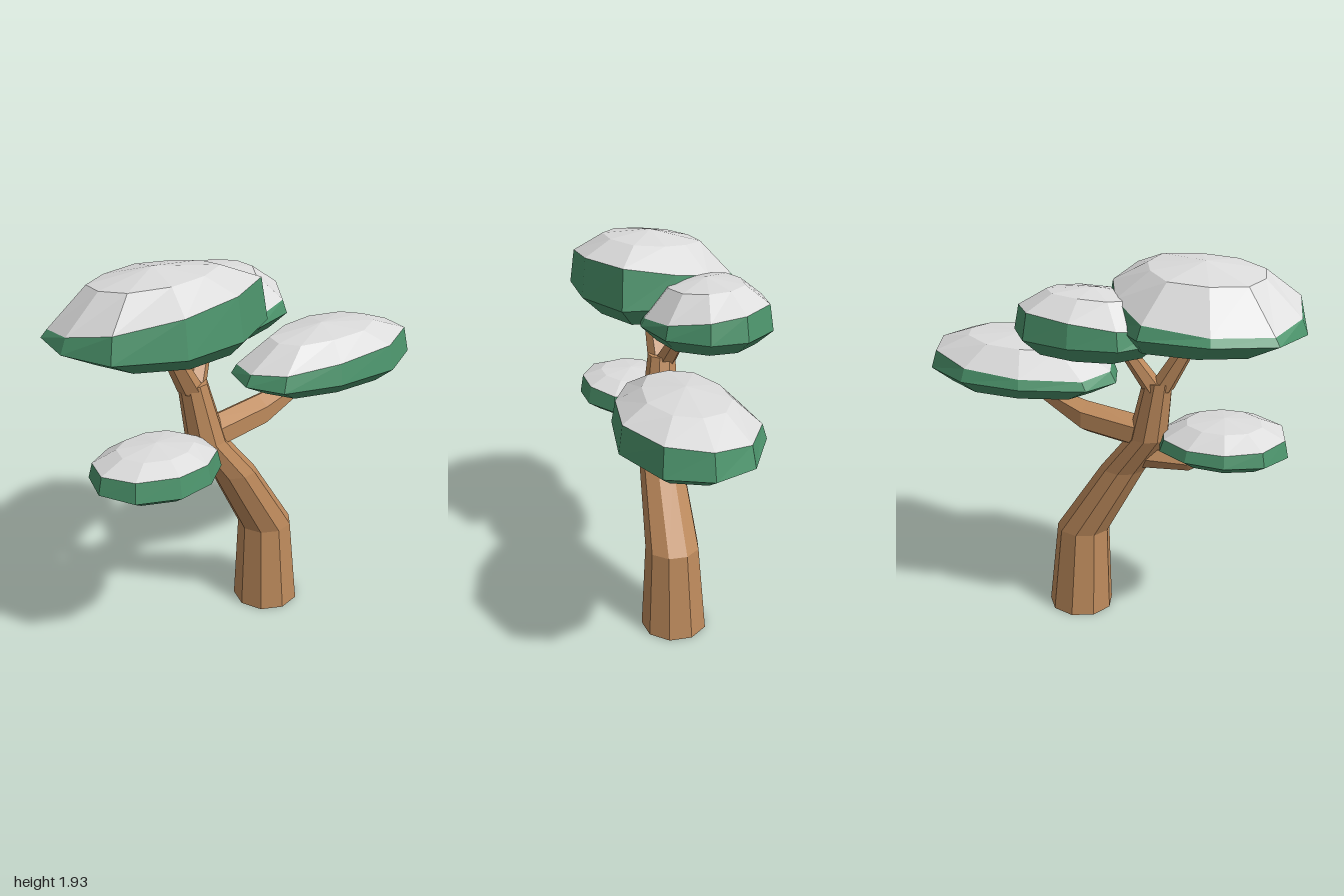
import * as THREE from 'three';

const material = (name, color) => {
  const m = new THREE.MeshStandardMaterial({ color, flatShading: true });
  m.name = name;
  return m;
};

// Joins rings of points into a faceted skin, skipping collapsed triangles
function loft(rings) {
  const pos = [];
  const tri = (a, b, c) => {
    if (a.distanceTo(b) < 1e-6 || b.distanceTo(c) < 1e-6 || a.distanceTo(c) < 1e-6) return;
    for (const p of [a, b, c]) pos.push(p.x, p.y, p.z);
  };
  for (let r = 0; r < rings.length - 1; r++) {
    const a = rings[r], b = rings[r + 1], n = a.length;
    for (let i = 0; i < n; i++) {
      const j = (i + 1) % n;
      tri(a[i], b[i], a[j]);
      tri(b[i], b[j], a[j]);
    }
  }
  const g = new THREE.BufferGeometry();
  g.setAttribute('position', new THREE.Float32BufferAttribute(pos, 3));
  g.computeVertexNormals();
  return g;
}

const X = new THREE.Vector3(1, 0, 0), Y = new THREE.Vector3(0, 1, 0), Z = new THREE.Vector3(0, 0, 1);
const AXES = { up: [X, Z], left: [Z, Y], right: [Y, Z] }; // ring planes by growing direction

// Tapered limb through sections [x, y, z, radius], closed at both ends
function limb(sections, direction, sides) {
  const [u, v] = AXES[direction];
  const ring = ([x, y, z, r]) => Array.from({ length: sides }, (_, i) => {
    const t = ((i + 0.5) / sides) * Math.PI * 2;
    return new THREE.Vector3(x, y, z).addScaledVector(u, r * Math.cos(t)).addScaledVector(v, r * Math.sin(t));
  });
  const cap = ([x, y, z]) => ring([x, y, z, 0]);
  return loft([cap(sections[0]), ...sections.map(ring), cap(sections[sections.length - 1])]);
}

export function createModel() {
  const bark = material('bark brown', 0xbd8a5c);
  const leaf = material('leaf green', 0x4c946c);
  const snow = material('snow white', 0xdcdcdc);
  const group = new THREE.Group();
  group.name = 'snowyTree';
  const add = (name, geometry, mat) => {
    const mesh = new THREE.Mesh(geometry, mat);
    mesh.name = name;
    group.add(mesh);
  };

  // Bent trunk and its limbs
  add('trunk', limb([
    [0.13, 0, 0.06, 0.17], [0.115, 0.46, 0.063, 0.138], [-0.11, 0.84, 0.07, 0.113],
    [-0.255, 1.04, 0.045, 0.098], [-0.31, 1.34, 0.02, 0.072],
  ], 'up', 9), bark);
  add('topRightFork', limb([[-0.32, 1.3, 0.025, 0.065], [-0.46, 1.55, 0.04, 0.045], [-0.5, 1.62, 0.04, 0.035]], 'up', 6), bark);
  add('topLeftFork', limb([[-0.3, 1.3, 0.01, 0.06], [-0.17, 1.51, -0.06, 0.042], [-0.12, 1.58, -0.09, 0.035]], 'up', 6), bark);
  add('leftBranch', limb([[-0.27, 1.055, 0.04, 0.085], [0.08, 1.09, 0.04, 0.082], [0.4, 1.19, 0.07, 0.034], [0.46, 1.215, 0.08, 0.028]], 'left', 6), bark);
  add('rightBranch', limb([[-0.18, 0.925, 0.06, 0.065], [-0.47, 0.935, 0.07, 0.043], [-0.58, 0.985, 0.085, 0.022]], 'right', 6), bark);

  // Leaf pads: green cushion below a slanted rim, snow cap above it
  const pads = [
    { name: 'topRight', c: [-0.52, 0.03], y: [1.56, 1.65, 1.765, 1.89, 1.93], slope: [0.1, 0.16], shift: 0.05,
      outline: [[-0.05, 0], [-0.065, 0.26], [-0.34, 0.41], [-0.65, 0.43], [-0.92, 0.28], [-1, 0.04], [-0.95, -0.2], [-0.7, -0.35], [-0.38, -0.385], [-0.16, -0.2]] },
    { name: 'topLeft', c: [-0.05, -0.14], y: [1.505, 1.585, 1.66, 1.77, 1.8], slope: [0.08, -0.12], shift: 0,
      outline: [[0.32, -0.07], [0.2, 0.11], [-0.03, 0.18], [-0.23, 0.14], [-0.38, 0], [-0.4, -0.2], [-0.29, -0.38], [-0.07, -0.44], [0.17, -0.41], [0.31, -0.25]] },
    { name: 'left', c: [0.47, 0.08], y: [1.19, 1.265, 1.35, 1.44, 1.47], slope: [0.06, 0.09], shift: 0.01,
      outline: [[0.995, 0.08], [0.92, 0.28], [0.65, 0.41], [0.31, 0.385], [0.03, 0.28], [-0.05, 0.1], [0.02, -0.09], [0.32, -0.22], [0.64, -0.24], [0.91, -0.11]] },
    { name: 'right', c: [-0.61, 0.13], y: [0.97, 1.02, 1.095, 1.148, 1.167], slope: [-0.02, 0.07], shift: 0,
      outline: [[-0.3, 0.08], [-0.35, 0.27], [-0.5, 0.38], [-0.68, 0.4], [-0.86, 0.31], [-0.93, 0.14], [-0.87, -0.03], [-0.71, -0.13], [-0.52, -0.14], [-0.36, -0.06]] },
  ];
  for (const { name, c, y, slope, shift, outline } of pads) {
    const ring = (scale, height, tilt = 0, dx = 0) => outline.map(([px, pz]) => {
      const ox = px - c[0], oz = pz - c[1];
      return new THREE.Vector3(c[0] + ox * scale + dx, height + tilt * (ox * slope[0] + oz * slope[1]), c[1] + oz * scale);
    });
    const rim = ring(0.94, y[2], 1);
    add(name + 'Foliage', loft([ring(0, y[0]), ring(0.76, y[0] + 0.005, 0, shift), ring(1, y[1]), rim]), leaf);
    add(name + 'Snow', loft([rim, ring(0.58, y[3], 0.3), ring(0, y[4])]), snow);
  }
  return group;
}
